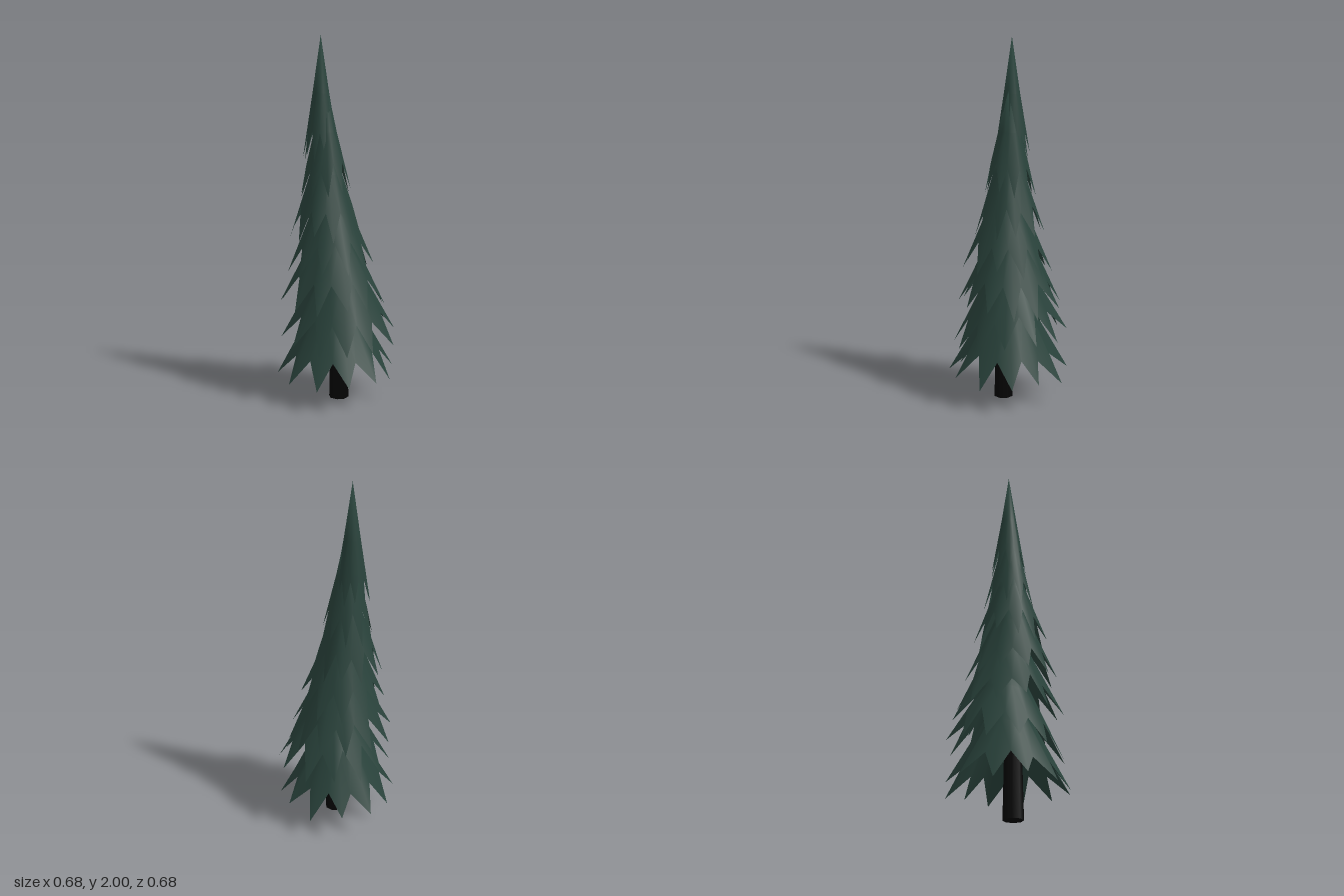
import * as THREE from 'three';

const needleGreen = new THREE.MeshStandardMaterial({ color: 0x29423b, side: THREE.DoubleSide });
needleGreen.name = 'needle green';
const barkBlack = new THREE.MeshStandardMaterial({ color: 0x030303 });
barkBlack.name = 'bark black';

// Small seeded generator, returns -1..1
function seeded(seed) {
  let s = seed;
  return () => {
    s = (s * 16807) % 2147483647;
    return (s / 2147483647) * 2 - 1;
  };
}

// Star-edged skirt: apex, inner ring, then alternating hanging tips and notches
function skirtGeometry({ tipY, radius, points, phase, apexY, depth, ring, tilt }, rand) {
  const n = points * 2;
  const pos = [0, apexY, 0];
  const index = [];
  const add = (angle, r, y) => {
    const x = Math.cos(angle) * r;
    const z = Math.sin(angle) * r;
    pos.push(x, y + x * tilt[0] + z * tilt[1], z);
  };
  const edge = [];
  for (let i = 0; i < n; i++) {
    const isTip = i % 2 === 0;
    const angle = phase + (i / n) * Math.PI * 2 + rand() * 0.04;
    edge.push(isTip
      ? [angle, radius * (0.99 + rand() * 0.04), tipY + rand() * 0.025]
      : [angle, radius * (0.71 + rand() * 0.03), tipY + depth + rand() * 0.02]);
  }
  // ribs stand slightly proud of the valleys between them
  edge.forEach(([a], i) => add(a, radius * (i % 2 ? ring - 0.03 : ring), THREE.MathUtils.lerp(tipY, apexY, 0.53)));
  edge.forEach((e) => add(...e));
  for (let i = 0; i < n; i++) {
    const j = (i + 1) % n;
    const u = 1 + i, v = 1 + j, l = 1 + n + i, m = 1 + n + j;
    index.push(0, v, u);
    // keep the crease along each tip's midrib
    if (i % 2 === 0) index.push(u, m, l, u, v, m);
    else index.push(u, v, l, v, m, l);
  }
  const geo = new THREE.BufferGeometry();
  geo.setAttribute('position', new THREE.Float32BufferAttribute(pos, 3));
  geo.setIndex(index);
  geo.computeVertexNormals();
  return geo;
}

export function createModel() {
  const tree = new THREE.Group();
  tree.name = 'conifer';

  // Trunk
  const trunk = new THREE.Mesh(new THREE.CylinderGeometry(0.04, 0.055, 0.7, 8), barkBlack);
  trunk.name = 'trunk';
  trunk.position.set(0, 0.35, 0.035);
  tree.add(trunk);

  // Branch skirts from the ground up; their centres lean as the tree rises
  const common = { depth: 0.15, ring: 0.44, tilt: [0, 0] };
  const tiers = [
    { tipY: 0.14, radius: 0.333, points: 12, phase: 0.4, apexY: 0.78, center: [0, 0], depth: 0.13 },
    { tipY: 0.35, radius: 0.318, points: 12, phase: -0.04, apexY: 0.98, center: [0.02, 0.01], tilt: [0.09, -0.12] },
    { tipY: 0.54, radius: 0.29, points: 12, phase: 0.35, apexY: 1.18, center: [-0.01, -0.01], tilt: [-0.04, 0.03] },
    { tipY: 0.735, radius: 0.245, points: 11, phase: 0.05, apexY: 1.36, center: [-0.03, 0], tilt: [0, 0.08] },
    { tipY: 0.93, radius: 0.198, points: 11, phase: 0.2, apexY: 1.56, center: [-0.047, -0.02] },
    { tipY: 1.16, radius: 0.143, points: 10, phase: 0.2, apexY: 1.78, center: [-0.048, -0.024] },
    { tipY: 1.35, radius: 0.102, points: 10, phase: 0, apexY: 2.0, center: [-0.063, -0.044] },
  ];
  const rand = seeded(4711);
  tiers.forEach((tier, i) => {
    const skirt = new THREE.Mesh(skirtGeometry({ ...common, ...tier }, rand), needleGreen);
    skirt.name = i === tiers.length - 1 ? 'treeTop' : `branchTier${i + 1}`;
    skirt.position.set(tier.center[0], 0, tier.center[1]);
    tree.add(skirt);
  });

  return tree;
}
